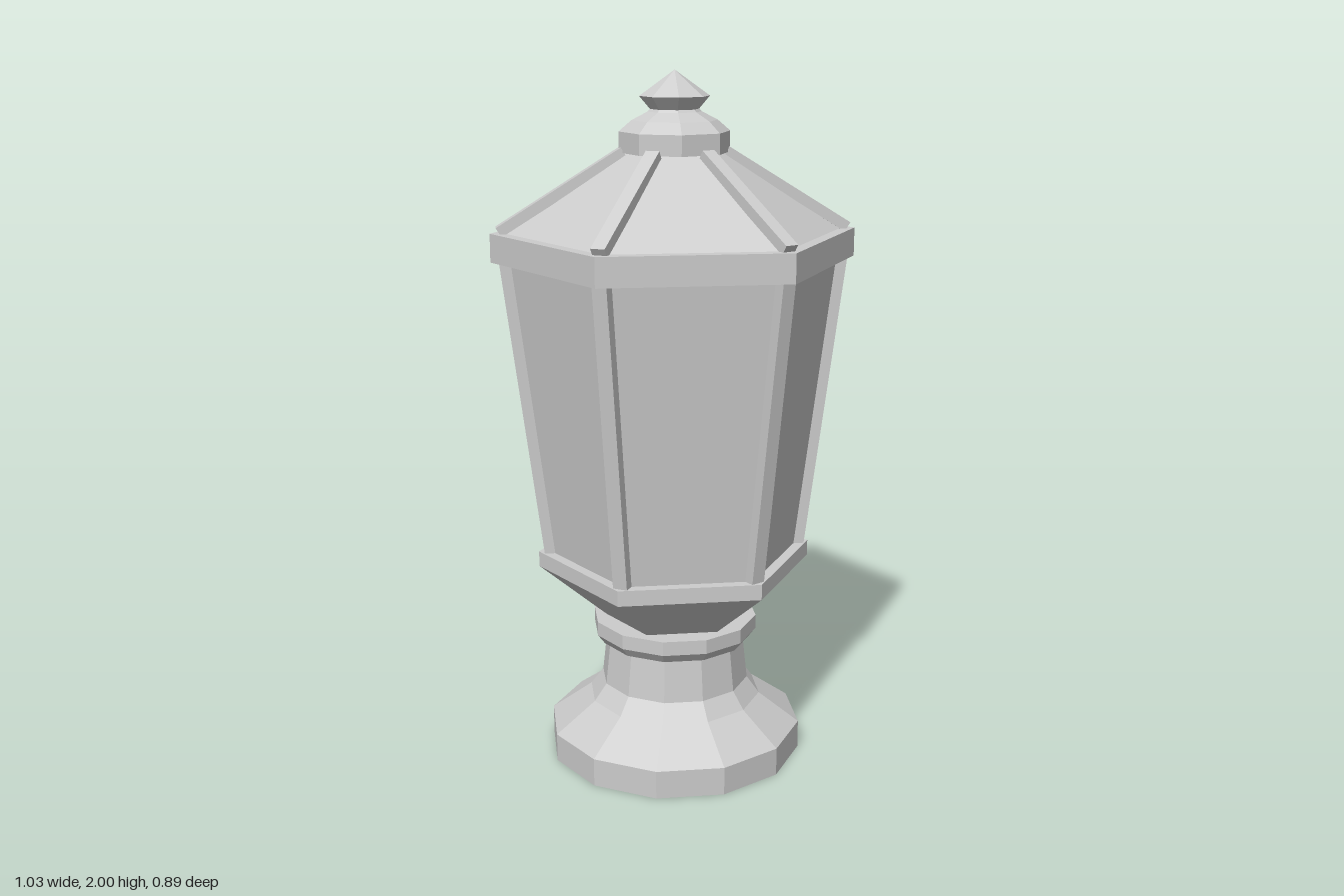
import * as THREE from 'three';

export function createModel() {
  const group = new THREE.Group();
  group.name = 'lantern';
  const stone = new THREE.MeshStandardMaterial({ color: 0xcccccc, flatShading: true });
  stone.name = 'light grey';

  const add = (geometry, name) => {
    const mesh = new THREE.Mesh(geometry, stone);
    mesh.name = name;
    group.add(mesh);
    return mesh;
  };

  // Faceted turned part from [radius, height] pairs, bottom to top
  const turned = (profile, sides, turn, name) =>
    add(new THREE.LatheGeometry(profile.map(([r, y]) => new THREE.Vector2(r, y)), sides, turn), name);

  // Hexagonal tier with corners on the x axis
  const hexTier = (r0, y0, r1, y1, name) => {
    const geometry = new THREE.CylinderGeometry(r1, r0, y1 - y0, 6);
    geometry.rotateY(Math.PI / 6);
    geometry.translate(0, (y0 + y1) / 2, 0);
    return add(geometry, name);
  };

  // Six radial bars, each running from [radius, height] to [radius, height]
  const bars = ([r0, y0], [r1, y1], width, depth, name) => {
    const length = Math.hypot(r1 - r0, y1 - y0);
    for (let i = 0; i < 6; i++) {
      const geometry = new THREE.BoxGeometry(depth, length, width);
      geometry.rotateZ(-Math.atan2(r1 - r0, y1 - y0));
      geometry.translate((r0 + r1) / 2, (y0 + y1) / 2, 0);
      geometry.rotateY((i * Math.PI) / 3);
      add(geometry, name + (i + 1));
    }
  };

  // Pedestal: twelve-sided foot, flared neck and collar
  turned([
    [0, 0], [0.376, 0], [0.376, 0.083], [0.256, 0.17], [0.219, 0.22],
    [0.205, 0.35], [0.222, 0.35], [0.243, 0.378], [0.243, 0.42], [0, 0.42],
  ], 12, Math.PI / 12, 'pedestal');

  // Lantern body
  hexTier(0.205, 0.42, 0.4, 0.58, 'bodyTaper');
  hexTier(0.4, 0.58, 0.4, 0.625, 'lowerFrame');
  hexTier(0.365, 0.62, 0.473, 1.49, 'glassPanes');
  bars([0.362, 0.61], [0.474, 1.5], 0.042, 0.04, 'cornerPost');
  hexTier(0.515, 1.48, 0.515, 1.56, 'upperFrame');

  // Roof and its ribs
  hexTier(0.475, 1.56, 0.13, 1.785, 'roof');
  bars([0.49, 1.565], [0.143, 1.78], 0.04, 0.03, 'roofRib');

  // Octagonal cap and pointed finial
  turned([
    [0, 1.778], [0.155, 1.778], [0.155, 1.835], [0.12, 1.865], [0.075, 1.888],
    [0.068, 1.895], [0.098, 1.93], [0, 2],
  ], 8, 0, 'finial');

  return group;
}
